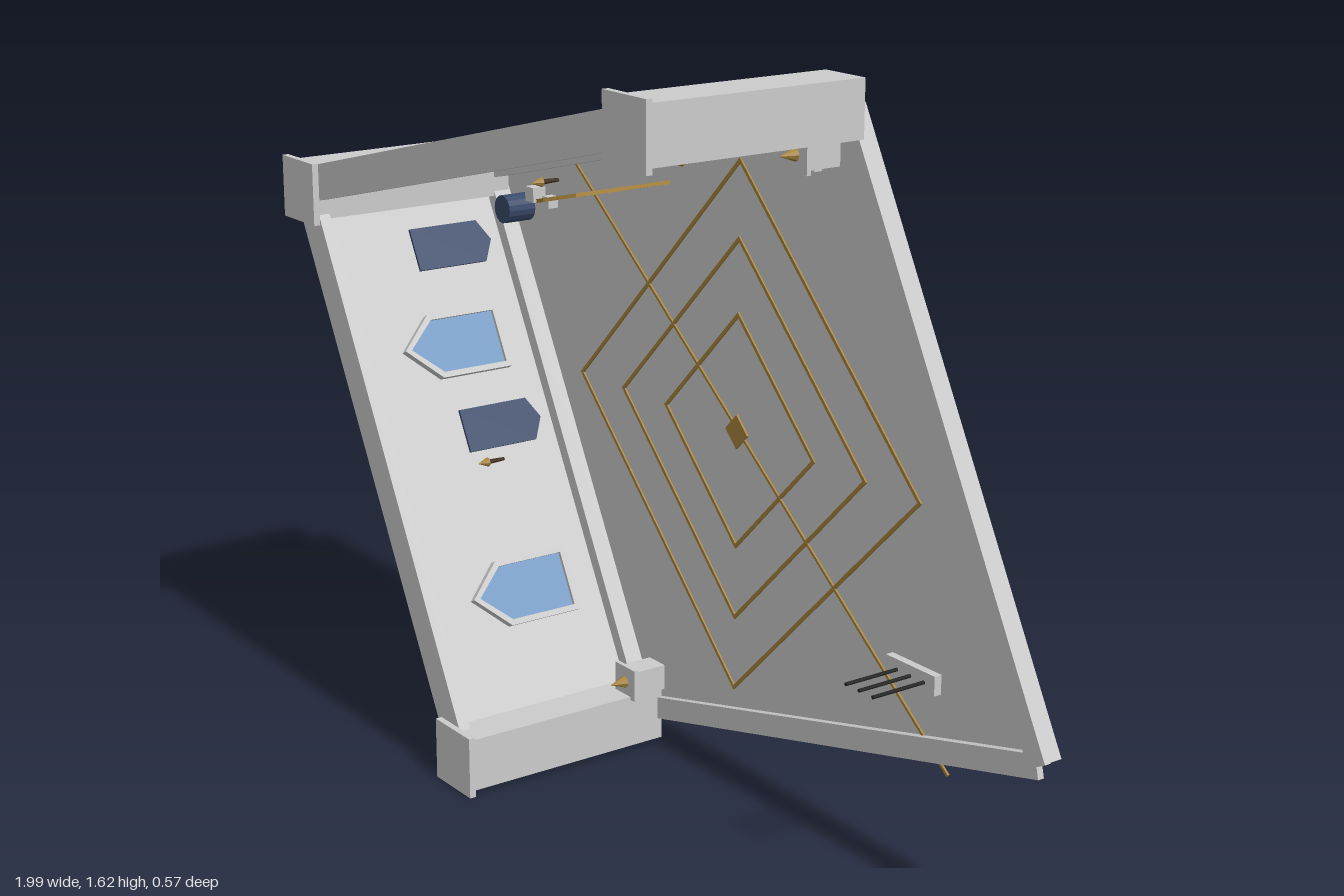
import * as THREE from 'three';

const GREY = 0xcccccc, GOLD = 0xa8843c, NAVY = 0x3a4a6b, SKY = 0x769cc6, BLACK = 0x222222, WOOD = 0x3f2c1a;
const mats = {};
const mat = (c) => (mats[c] ??= new THREE.MeshStandardMaterial({ color: c, flatShading: true }));

// Floor rhombus corners: left, top, bottom, right
const A = new THREE.Vector2(-0.93, 1.24), B = new THREE.Vector2(0.35, 1.56);
const C = new THREE.Vector2(-0.31, 0.075), D = new THREE.Vector2(0.97, 0.395);
const SIDE = A.distanceTo(B);

function add(parent, name, geo, color = GREY, x = 0, y = 0, z = 0) {
  const m = new THREE.Mesh(geo, mat(color));
  m.name = name;
  m.position.set(x, y, z);
  parent.add(m);
  return m;
}

// Box given by its limits on each axis
function box(parent, name, x0, x1, y0, y1, z0, z1, color = GREY) {
  return add(parent, name, new THREE.BoxGeometry(x1 - x0, y1 - y0, z1 - z0), color,
    (x0 + x1) / 2, (y0 + y1) / 2, (z0 + z1) / 2);
}

// Group whose x axis runs from p to q in the floor plane
function along(parent, name, p, q) {
  const g = new THREE.Group();
  g.name = name;
  g.position.set(p.x, p.y, 0);
  g.rotation.z = Math.atan2(q.y - p.y, q.x - p.x);
  parent.add(g);
  return g;
}

const toPoints = (list) => list.map(([x, y]) => new THREE.Vector2(x, y));
// Pentagon: flat end, shoulder and tip heights
const pointed = (w, flat, shoulder, tip) =>
  toPoints([[-w, flat], [w, flat], [w, shoulder], [0, tip], [-w, shoulder]]);

function plate(points, depth, hole) {
  const s = new THREE.Shape(points);
  if (hole) s.holes.push(new THREE.Path(hole));
  return new THREE.ExtrudeGeometry(s, { depth, bevelEnabled: false });
}

// Plate standing on the floor, its thickness pointing into the room
const upright = (points, depth, hole) => plate(points, depth, hole).rotateX(Math.PI / 2);

function wall(parent, name, p, q) {
  const g = along(parent, name, p, q);
  box(g, 'wallPanel', 0, SIDE, 0, 0.042, -0.2, 0.24);
  box(g, 'frontRail', 0, SIDE, -0.03, 0.05, 0.24, 0.267);
  box(g, 'backRail', 0, SIDE, -0.03, 0.05, -0.24, -0.197);
  return g;
}

function windowUnit(g, t) {
  const inner = pointed(0.062, -0.112, 0.054, 0.122);
  add(g, 'windowFrame', upright(pointed(0.075, -0.124, 0.06, 0.138), 0.018, inner), GREY, t * SIDE);
  add(g, 'windowPane', upright(inner, 0.01), SKY, t * SIDE);
}

function banner(g, t) {
  add(g, 'banner', upright(pointed(0.049, 0.094, -0.08, -0.107).reverse(), 0.006), NAVY, t * SIDE, -0.098);
}

function torch(g, x, y) {
  const t = new THREE.Group();
  t.name = 'torch';
  t.position.set(x, y, 0);
  add(t, 'torchHandle', new THREE.CylinderGeometry(0.006, 0.004, 0.045, 8).rotateX(Math.PI / 2), WOOD, 0, 0, 0.012);
  add(t, 'torchFlame', new THREE.ConeGeometry(0.011, 0.027, 8).rotateX(Math.PI / 2), GOLD, 0, 0, 0.045);
  g.add(t);
}

function brazier(g, x, y) {
  const b = new THREE.Group();
  b.name = 'brazier';
  b.position.set(x, y, 0);
  box(b, 'pedestal', -0.029, 0.029, -0.029, 0.029, -0.24, -0.157);
  box(b, 'pedestalCap', -0.037, 0.037, -0.037, 0.037, -0.16, -0.15);
  add(b, 'brazierFlame', new THREE.ConeGeometry(0.014, 0.04, 8).rotateX(Math.PI / 2), GOLD, 0, 0, -0.13);
  g.add(b);
}

const diamond = (r) => toPoints([[r, 0], [0, r], [-r, 0], [0, -r]]);

export function createModel() {
  const root = new THREE.Group();
  root.name = 'tippedRoom';

  // Floor slab and the low rails along its open edges
  add(root, 'floorSlab', plate([C, D, B, A], 0.05), GREY, 0, 0, -0.29);
  for (const p of [C, B]) {
    const g = along(root, 'openEdge', p, D);
    box(g, 'floorRail', 0, SIDE, -0.025, 0.025, -0.24, -0.225);
  }

  // Gold floor inlay
  for (const r of [0.59, 0.425, 0.262])
    add(root, 'inlayDiamond', plate(diamond(r), 0.004, diamond(r - 0.011)), GOLD, 0.02, 0.815, -0.24);
  add(root, 'inlayCentre', plate(diamond(0.038), 0.005), GOLD, 0.02, 0.815, -0.24);
  const line = add(root, 'inlayLine', new THREE.BoxGeometry(1.74, 0.006, 0.005), GOLD, 0.03, 0.815, -0.238);
  line.rotation.z = -0.665;

  // Two walls with pointed windows
  const top = wall(root, 'topWall', A, B);
  const left = wall(root, 'sideWall', C, A);
  [0.12, 0.555].forEach((t) => windowUnit(top, t));
  [0.247, 0.69].forEach((t) => windowUnit(left, t));
  [0.525, 0.848].forEach((t) => banner(left, t));

  // Pointed portal in front of the upper wall
  const portal = pointed(0.064, -0.157, 0.056, 0.084);
  add(top, 'portalFrame', upright(pointed(0.077, -0.176, 0.062, 0.094), 0.008, portal), GOLD, 0.54 * SIDE, -0.096);
  add(top, 'portalPanel', upright(portal, 0.005), NAVY, 0.54 * SIDE, -0.096);

  // Corner posts with caps
  for (const { x, y } of [A, B, C]) {
    box(root, 'cornerPost', x - 0.06, x + 0.06, y - 0.06, y + 0.06, -0.237, 0.27);
    box(root, 'postCap', x - 0.07, x + 0.07, y - 0.07, y + 0.07, 0.27, 0.285);
  }

  // Torches, braziers, crates and barrel
  for (const [x, y] of [[-0.315, 1.33], [0.185, 1.453], [-0.79, 1.1], [-0.55, 0.65]]) torch(root, x, y);
  brazier(root, 0.308, 1.465);
  brazier(root, -0.272, 0.165);
  for (const [x, y, r] of [[0.219, 1.438, 0.016], [0.272, 1.428, 0.01], [-0.733, 1.205, 0.017], [-0.677, 1.195, 0.013]])
    box(root, 'crate', x - r, x + r, y - r, y + r, -0.24, -0.24 + 2 * r);
  add(root, 'barrel', new THREE.CylinderGeometry(0.033, 0.033, 0.07, 16).rotateX(Math.PI / 2), NAVY, -0.79, 1.165, -0.203);

  // Rack with three upright rods
  box(root, 'rackBase', 0.537, 0.683, 0.44, 0.482, -0.24, -0.222);
  for (const x of [0.571, 0.611, 0.652])
    add(root, 'rackRod', new THREE.CylinderGeometry(0.004, 0.004, 0.14, 8).rotateX(Math.PI / 2), BLACK, x, 0.46, -0.16);

  return root;
}
